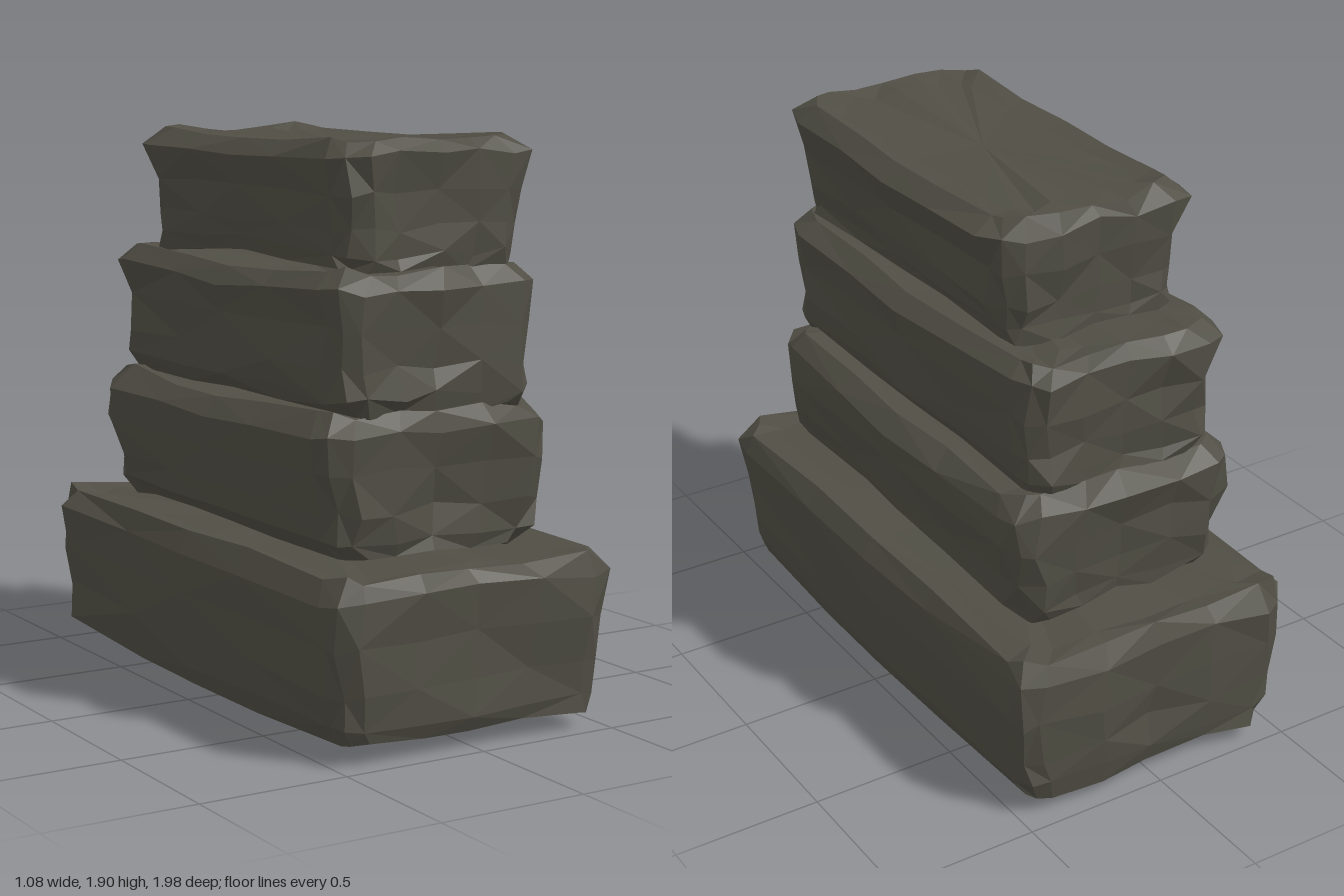
import * as THREE from 'three';

const stone = new THREE.MeshStandardMaterial({ color: 0x504e44, flatShading: true });
stone.name = 'dark stone';

// Seeded random numbers in -1..1 for the chipped edges
function makeRandom(seed) {
  let s = seed;
  return () => {
    s = (s * 16807) % 2147483647;
    return (s / 2147483647) * 2 - 1;
  };
}

// Quarter outline of a slab with a cut corner, mirrored to the full loop,
// counter-clockwise from above, starting at the hollowed middle of the +z end
function outline(w, d, cut, hollow) {
  const front = [
    [0, d - hollow], [w * 0.42, d - hollow * 0.5],
    [w - cut, d], [w - cut * 0.3, d - cut * 0.4], [w, d - cut * 1.3],
    [w, d * 0.4], [w + 0.01, 0],
  ];
  const right = [...front, ...front.slice(0, 6).reverse().map(([x, z]) => [x, -z])];
  const left = right.slice(1, 12).reverse().map(([x, z]) => [-x, z]);
  return [...right, ...left];
}

// Skins rings between y0 and y1 and closes them with a point at each end.
// sole, foot, belly and rim inset the sides from the underside to the top;
// sag lowers the middle of the top, arch lifts the middle of the underside.
function makeSlab(name, seed, { y0, y1, w, z0, z1, sole, foot, belly, rim, sag, arch, hollow, bottom }) {
  const rand = makeRandom(seed);
  const h = y1 - y0, mid = (z0 + z1) / 2, d = (z1 - z0) / 2;
  // Each ring: height, inset of the sides, inset of the ends, corner cut, end hollow
  const rings = [
    [y0, sole, sole * 0.45, 0.06, 0.01],
    [y0 + h * 0.12, foot, foot * 0.45, 0.07, hollow * 0.6],
    [y0 + h * 0.32, (foot + belly) / 2, 0.015, 0.08, hollow],
    [y0 + h * 0.6, belly, 0.005, 0.08, hollow],
    [y1 - h * 0.13, 0, 0, 0.09, 0.01],
    [y1, rim, rim * 0.8, 0.08, 0.01],
    [y1 - 0.012, rim + 0.07, rim + 0.07, 0.08, 0.01],
  ];
  const pos = [], index = [];
  const n = 24;
  rings.forEach(([y, side, end, cut, dent], r) => {
    for (const [x, z] of outline(w - side, d - end, cut, dent)) {
      const far = Math.min(1, Math.abs(z) / 0.6);
      const bend = r > 3 ? -sag : r < 2 ? arch : 0;
      const k = 0.005 + 0.013 * far * far;
      pos.push(x + rand() * k, y + bend * (1 - far) + rand() * k * 0.9, mid + z + rand() * k);
    }
  });
  for (let r = 0; r < rings.length - 1; r++) {
    for (let i = 0; i < n; i++) {
      const a = r * n + i, b = r * n + (i + 1) % n;
      // Alternate the diagonal for a broken, chiselled look
      if ((i + r) % 2) index.push(a, b, b + n, a, b + n, a + n);
      else index.push(a, b, a + n, b, b + n, a + n);
    }
  }
  const low = rings.length * n, high = low + 1, last = low - n;
  pos.push(...bottom, 0, y1 - 0.015 - sag, mid);
  for (let i = 0; i < n; i++) {
    const j = (i + 1) % n;
    index.push(low, j, i, high, last + i, last + j);
  }
  const geometry = new THREE.BufferGeometry();
  geometry.setAttribute('position', new THREE.Float32BufferAttribute(pos, 3));
  geometry.setIndex(index);
  const flat = geometry.toNonIndexed();
  flat.computeVertexNormals();
  const mesh = new THREE.Mesh(flat, stone);
  mesh.name = name;
  return mesh;
}

export function createModel() {
  const model = new THREE.Group();
  model.name = 'stackedStoneSlabs';
  // Widest slab, with a sagging underside
  model.add(makeSlab('baseSlab', 11, {
    y0: 0.055, y1: 0.575, w: 0.525, z0: -0.985, z1: 0.985,
    sole: 0.06, foot: 0.04, belly: 0.01, rim: 0.04,
    sag: 0, arch: -0.01, hollow: 0.02, bottom: [-0.15, 0, -0.6],
  }));
  model.add(makeSlab('lowerSlab', 29, {
    y0: 0.58, y1: 1.035, w: 0.435, z0: -0.785, z1: 0.79,
    sole: 0.11, foot: 0.055, belly: 0.015, rim: 0.06,
    sag: 0.02, arch: 0.01, hollow: 0.05, bottom: [0, 0.59, 0],
  }));
  model.add(makeSlab('upperSlab', 47, {
    y0: 1.03, y1: 1.475, w: 0.38, z0: -0.77, z1: 0.77,
    sole: 0.06, foot: 0.025, belly: 0.015, rim: 0.05,
    sag: 0.03, arch: 0.01, hollow: 0.04, bottom: [0, 1.04, 0],
  }));
  // Shorter top slab, set toward the front
  model.add(makeSlab('topSlab', 83, {
    y0: 1.47, y1: 1.88, w: 0.37, z0: -0.595, z1: 0.755,
    sole: 0.06, foot: 0.045, belly: 0.03, rim: 0.055,
    sag: 0.015, arch: 0.03, hollow: 0.025, bottom: [0, 1.5, 0.08],
  }));
  return model;
}
